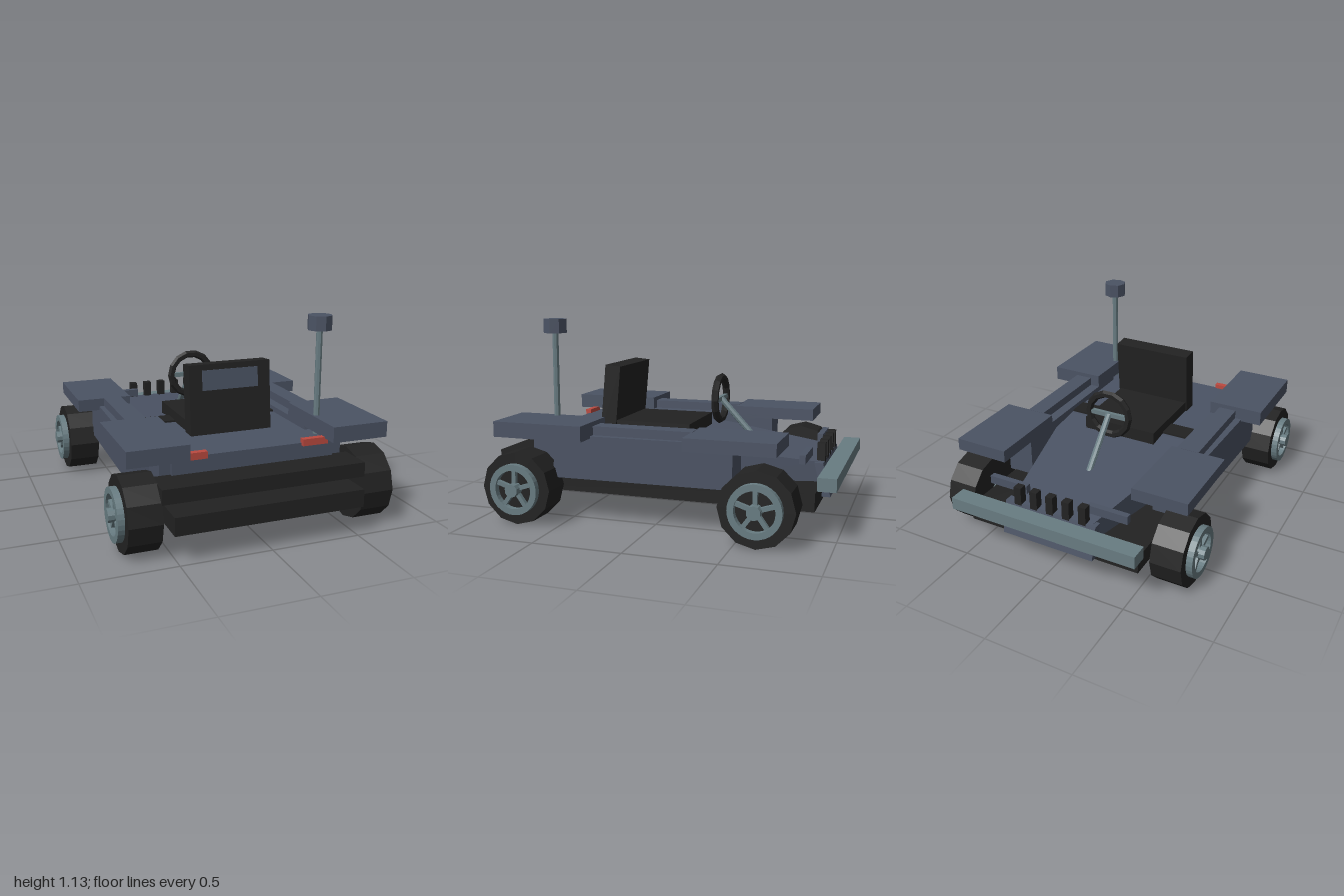
import * as THREE from 'three';

const mat = (name, color) => {
  const m = new THREE.MeshStandardMaterial({ color });
  m.name = name;
  m.flatShading = true;
  return m;
};

// Closed hull through rectangular sections, from +z to -z: [zBottom, zTop, x0, x1, y0, y1]
function hull(sections) {
  const rings = sections.map(([zb, zt, x0, x1, y0, y1]) =>
    [[x0, y0, zb], [x1, y0, zb], [x1, y1, zt], [x0, y1, zt]]);
  const pos = [];
  const quad = (a, b, c, d) => pos.push(...a, ...b, ...c, ...a, ...c, ...d);
  quad(...rings[0]);
  for (let k = 0; k + 1 < rings.length; k++) {
    const A = rings[k], B = rings[k + 1];
    for (let i = 0; i < 4; i++) {
      const j = (i + 1) % 4;
      quad(A[i], B[i], B[j], A[j]);
    }
  }
  quad(...rings[rings.length - 1].slice().reverse());
  const g = new THREE.BufferGeometry();
  g.setAttribute('position', new THREE.Float32BufferAttribute(pos, 3));
  g.computeVertexNormals();
  return g;
}

export function createModel() {
  const paint = mat('slate paint', 0x4b5364);
  const black = mat('black rubber', 0x222222);
  const steel = mat('grey steel', 0x687c82);
  const red = mat('red lamp', 0xbc4a40);

  const model = new THREE.Group();
  model.name = 'buggy';

  const add = (name, geo, material, parent = model) => {
    const m = new THREE.Mesh(geo, material);
    m.name = name;
    parent.add(m);
    return m;
  };
  // Box given by its extents on each axis
  const box = (name, material, [x0, x1], [y0, y1], [z0, z1], parent) => {
    const m = add(name, new THREE.BoxGeometry(x1 - x0, y1 - y0, z1 - z0), material, parent);
    m.position.set((x0 + x1) / 2, (y0 + y1) / 2, (z0 + z1) / 2);
    return m;
  };
  const span = (s, a, b) => (s > 0 ? [a, b] : [-b, -a]);

  // Chassis and bumpers
  box('chassis', black, [-0.525, 0.525], [0.16, 0.258], [-0.885, 1]);
  box('frontBumper', black, [-0.565, 0.565], [0.30, 0.38], [0.74, 0.93]);
  box('rearBumper', steel, [-0.565, 0.565], [0.283, 0.355], [-1, -0.9]);

  // Central body tapering to the tail
  add('body', hull([
    [0.76, 0.76, -0.46, 0.46, 0.255, 0.47],
    [0, 0, -0.44, 0.44, 0.255, 0.465],
    [-0.885, -0.885, -0.25, 0.25, 0.255, 0.365],
  ]), paint);
  add('tailPlate', hull([
    [-0.886, -0.84, -0.28, 0.28, 0.18, 0.366],
    [-0.932, -0.888, -0.28, 0.28, 0.18, 0.366],
  ]), paint);
  box('floorStrip', black, [-0.42, 0.42], [0.46, 0.476], [0.02, 0.14]);

  // Posts along the tail
  for (let i = -2; i <= 2; i++) {
    box('tailPost', black, [i * 0.1 - 0.022, i * 0.1 + 0.022], [0.35, 0.465], [-0.89, -0.845]);
  }

  for (const s of [1, -1]) {
    // Side pods with top rails
    add('sidePod', hull([
      [0.58, 0.545, ...span(s, 0.4, 0.61), 0.255, 0.5],
      [-0.46, -0.46, ...span(s, 0.4, 0.588), 0.255, 0.5],
    ]), paint);
    box('podRail', paint, span(s, 0.46, 0.565), [0.495, 0.55], [-0.23, 0.345]);

    // Fenders
    box('frontFender', paint, span(s, 0.4, 0.725), [0.488, 0.575], [0.345, 0.875]);
    box('rearFender', paint, span(s, 0.4, 0.72), [0.477, 0.548], [-0.72, -0.225]);
    box('fenderStrut', paint, span(s, 0.44, 0.52), [0.3, 0.489], [0.56, 0.74]);

    // Lamps and small tail brackets
    box('lamp', red, span(s, 0.272, 0.42), [0.457, 0.495], [0.748, 0.782]);
    box('tailBracket', paint, span(s, 0.19, 0.43), [0.388, 0.436], [-0.817, -0.783]);
  }

  // Wheels: tyre, rim ring, spokes, hub and axle
  for (const z of [0.738, -0.623]) {
    const axle = add('axle', new THREE.CylinderGeometry(0.026, 0.026, 1.2, 8), steel);
    axle.rotation.z = Math.PI / 2;
    axle.position.set(0, 0.206, z);
    for (const s of [1, -1]) {
      const wheel = new THREE.Group();
      wheel.name = 'wheel';
      wheel.position.set(0, 0.206, z);
      wheel.rotation.y = s > 0 ? Math.PI / 2 : -Math.PI / 2;
      model.add(wheel);

      const tyre = add('tyre', new THREE.CylinderGeometry(0.205, 0.205, 0.178, 12), black, wheel);
      tyre.rotation.x = Math.PI / 2;
      tyre.position.z = 0.65;

      const ring = new THREE.Shape().absarc(0, 0, 0.143, 0, Math.PI * 2);
      ring.holes.push(new THREE.Path().absarc(0, 0, 0.108, 0, Math.PI * 2, true));
      const rim = add('rim', new THREE.ExtrudeGeometry(ring,
        { depth: 0.038, bevelEnabled: false, curveSegments: 16 }), steel, wheel);
      rim.position.z = 0.737;

      for (let i = 0; i < 5; i++) {
        const a = Math.PI / 2 + i * Math.PI * 2 / 5;
        const spoke = add('spoke', new THREE.BoxGeometry(0.1, 0.024, 0.024), steel, wheel);
        spoke.position.set(Math.cos(a) * 0.07, Math.sin(a) * 0.07, 0.75);
        spoke.rotation.z = a;
      }
      const hub = add('hub', new THREE.CylinderGeometry(0.038, 0.038, 0.065, 10), steel, wheel);
      hub.rotation.x = Math.PI / 2;
      hub.position.z = 0.764;
    }
  }

  // Seat with inset back panel
  box('seatCushion', black, [-0.23, 0.23], [0.42, 0.528], [-0.11, 0.36]);
  const back = new THREE.Group();
  back.name = 'seatBack';
  back.position.set(0, 0.66, 0.378);
  back.rotation.x = -0.09;
  model.add(back);
  box('backrest', black, [-0.24, 0.24], [-0.2, 0.194], [-0.047, 0.047], back);
  box('backPanel', paint, [-0.165, 0.165], [0.05, 0.162], [0.046, 0.052], back);

  // Steering wheel and column
  const steering = add('steeringWheel', new THREE.TorusGeometry(0.128, 0.022, 6, 14), black);
  steering.position.set(0, 0.655, -0.232);
  box('steeringSpoke', steel, [-0.12, 0.12], [0.642, 0.668], [-0.244, -0.222]);
  const from = new THREE.Vector3(0, 0.655, -0.235), to = new THREE.Vector3(0, 0.39, -0.48);
  const column = add('steeringColumn',
    new THREE.CylinderGeometry(0.019, 0.019, from.distanceTo(to), 8), steel);
  column.position.copy(from).lerp(to, 0.5);
  column.quaternion.setFromUnitVectors(new THREE.Vector3(0, 1, 0), from.clone().sub(to).normalize());

  // Mast with head
  const mast = add('mast', new THREE.CylinderGeometry(0.018, 0.018, 0.62, 8), steel);
  mast.position.set(0.427, 0.76, 0.632);
  const head = add('mastHead', new THREE.CylinderGeometry(0.068, 0.068, 0.08, 8), paint);
  head.position.set(0.427, 1.092, 0.632);

  return model;
}
